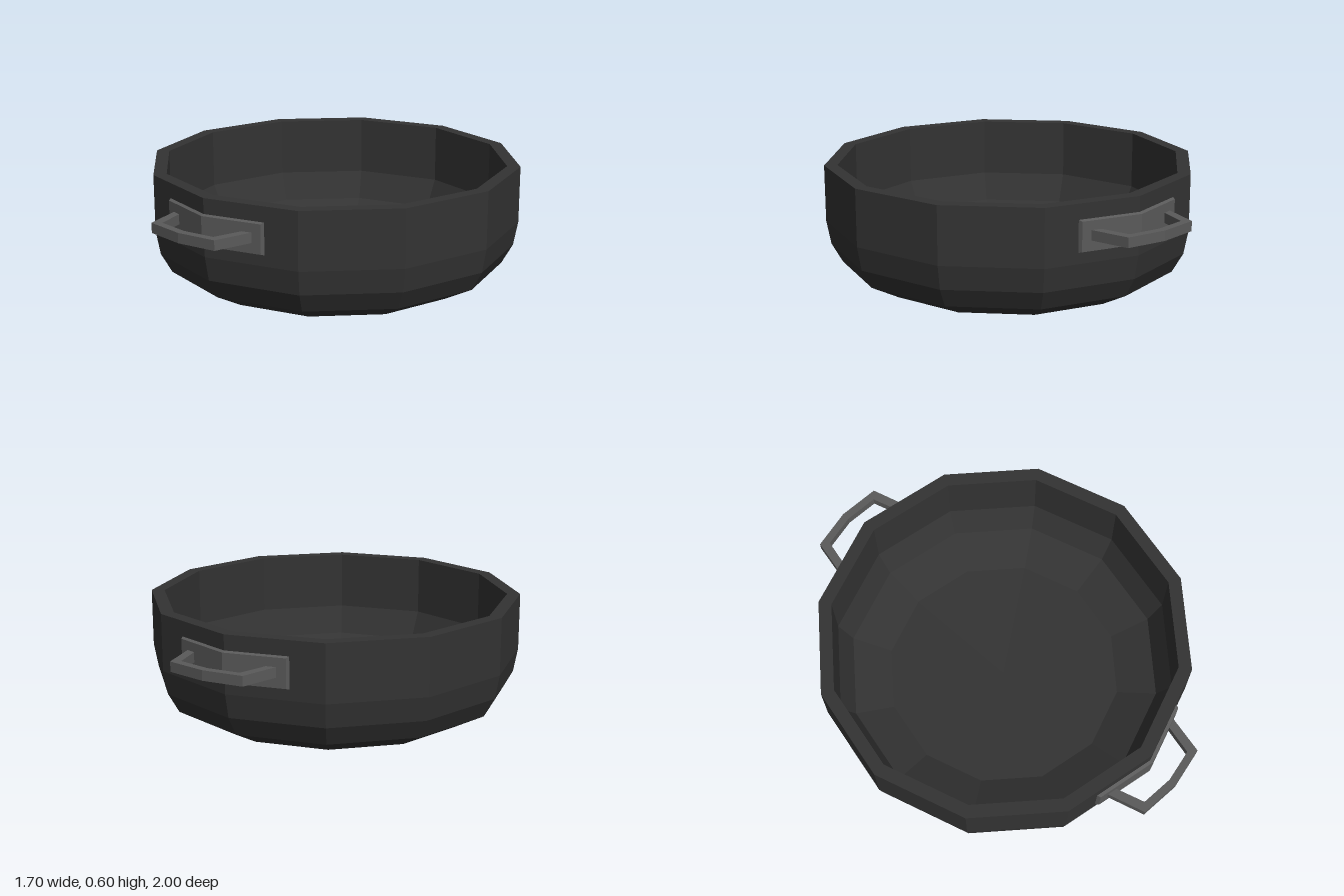
import * as THREE from 'three';

const SIDES = 12;
const FOLD = Math.tan(Math.PI / SIDES); // slope of the wall facets beside a corner
const dark = new THREE.MeshStandardMaterial({ color: 0x333333, flatShading: true });
const metal = new THREE.MeshStandardMaterial({ color: 0x5a5a5a, flatShading: true });

function part(name, geometry, material) {
  const mesh = new THREE.Mesh(geometry, material);
  mesh.name = name;
  return mesh;
}

// Outer skin from the base up, over the rim and down the inside
function bowlGeometry() {
  const profile = [
    [0, 0], [0.32, 0.025], [0.64, 0.065], [0.78, 0.14], [0.83, 0.23], [0.85, 0.34], [0.85, 0.6],
    [0.79, 0.6], [0.79, 0.33], [0.73, 0.2], [0.55, 0.12], [0, 0.1],
  ].map(([r, y]) => new THREE.Vector2(r, y));
  return new THREE.LatheGeometry(profile, SIDES);
}

// Chamfered plate folded around a corner of the wall
function plateGeometry() {
  const geometry = new THREE.BoxGeometry(0.57, 0.16, 0.04, 2, 1, 1);
  const p = geometry.attributes.position;
  for (let i = 0; i < p.count; i++) {
    const front = p.getZ(i) > 0;
    const x = p.getX(i) * (front ? 0.947 : 1);
    const y = p.getY(i) * (front ? 0.82 : 1);
    p.setXYZ(i, x, y + 0.46, p.getZ(i) + 0.845 - Math.abs(x) * FOLD);
  }
  geometry.computeVertexNormals();
  return geometry;
}

// Flat angular loop, drawn in plan and given its height
function gripGeometry() {
  const outline = [
    [0.235, 0.78], [0.185, 0.975], [0, 1], [-0.185, 0.975], [-0.235, 0.78],
    [-0.195, 0.78], [-0.15, 0.945], [0, 0.965], [0.15, 0.945], [0.195, 0.78],
  ].map(([x, z]) => new THREE.Vector2(x, z));
  const geometry = new THREE.ExtrudeGeometry(new THREE.Shape(outline), { depth: 0.045, bevelEnabled: false });
  return geometry.rotateX(Math.PI / 2).translate(0, 0.485, 0);
}

export function createModel() {
  const model = new THREE.Group();
  model.name = 'pan';
  model.add(part('bowl', bowlGeometry(), dark));

  // One handle at the front, one at the back
  for (const [name, angle] of [['frontHandle', 0], ['backHandle', Math.PI]]) {
    const handle = new THREE.Group();
    handle.name = name;
    handle.add(part('mountingPlate', plateGeometry(), metal), part('grip', gripGeometry(), metal));
    handle.rotation.y = angle;
    model.add(handle);
  }
  return model;
}
